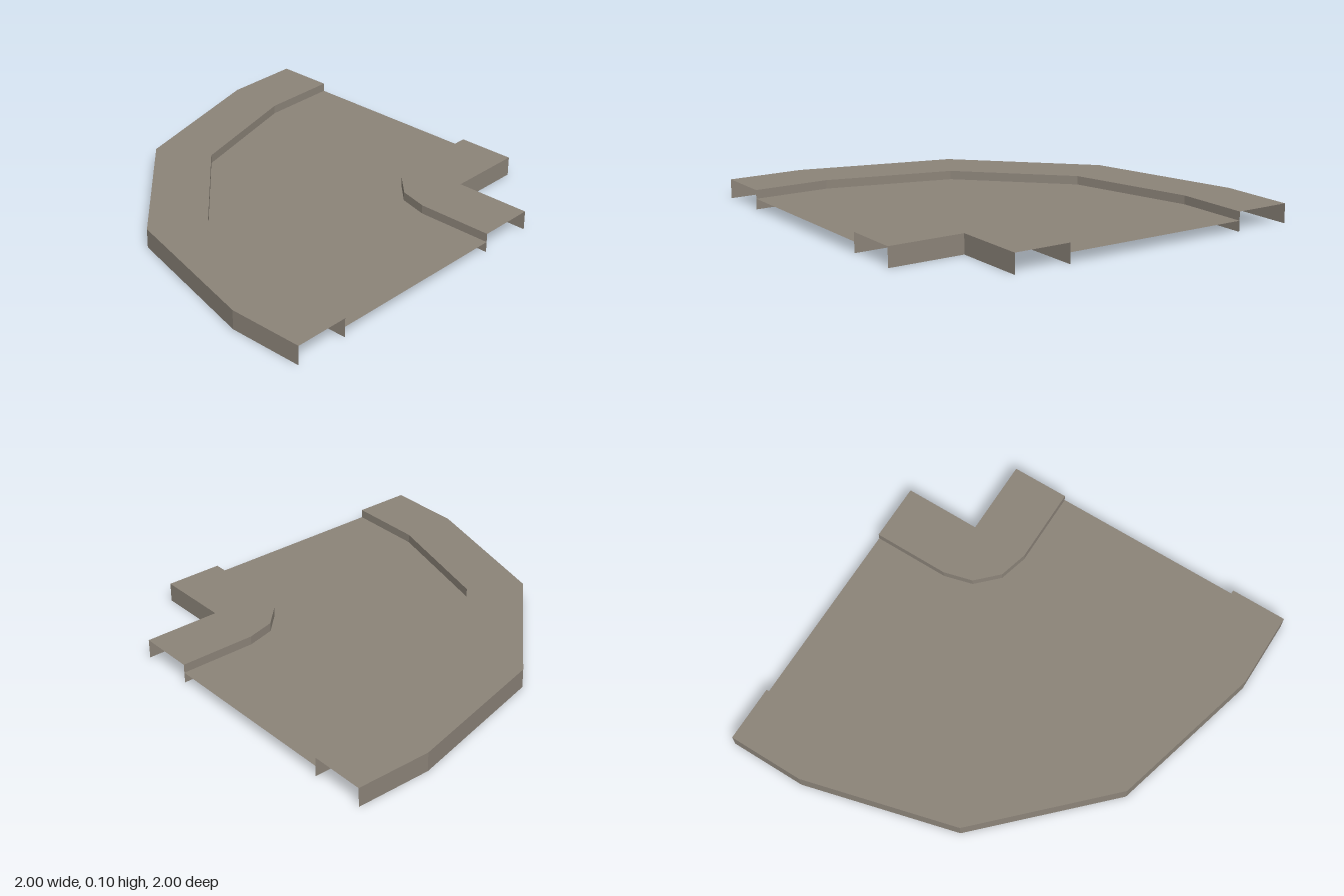
import * as THREE from 'three';

// Plan outlines [x, z], each running from the front end round to the +x end
const outerEdge = [[-1, 1], [-1, 0.6], [-0.79, -0.2], [-0.2, -0.79], [0.6, -1], [1, -1]];
const outerCurb = [[-0.705, 1], [-0.705, 0.6], [-0.53, -0.05], [-0.05, -0.53], [0.6, -0.705], [1, -0.705]];
const innerCurb = [[0.3, 1], [0.3, 0.6], [0.34, 0.45], [0.45, 0.34], [0.6, 0.3], [1, 0.3]];
const innerEdge = [[0.6, 1], [0.6, 0.6], [0.6, 0.6], [0.6, 0.6], [0.6, 0.6], [1, 0.6]];
const TOP = 0.1, ROAD = 0.055;

// Flat-shaded ribbon between two outlines of equal length, each at its own height
function ribbon(a, ya, b, yb) {
  const pos = [];
  const put = (p, y) => pos.push(p[0], y, p[1]);
  const same = (p, q) => p[0] === q[0] && p[1] === q[1];
  for (let i = 0; i < a.length - 1; i++) {
    if (!same(a[i], a[i + 1])) { put(a[i], ya); put(b[i], yb); put(a[i + 1], ya); }
    if (!same(b[i], b[i + 1])) { put(b[i], yb); put(b[i + 1], yb); put(a[i + 1], ya); }
  }
  const geometry = new THREE.BufferGeometry();
  geometry.setAttribute('position', new THREE.Float32BufferAttribute(pos, 3));
  geometry.computeVertexNormals();
  return geometry;
}

export function createModel() {
  const stone = new THREE.MeshStandardMaterial({ color: 0x8c8479, side: THREE.DoubleSide });
  stone.name = 'warm grey stone';
  const model = new THREE.Group();
  model.name = 'roadCorner';
  const add = (name, ...args) => {
    const mesh = new THREE.Mesh(ribbon(...args), stone);
    mesh.name = name;
    model.add(mesh);
  };

  // Horizontal surfaces
  add('outerPavement', outerEdge, TOP, outerCurb, TOP);
  add('road', outerCurb, ROAD, innerCurb, ROAD);
  add('innerPavement', innerCurb, TOP, innerEdge, TOP);

  // Upright skirts and curbs, open at both road ends
  add('outerSkirt', outerEdge, 0, outerEdge, TOP);
  add('outerCurb', outerCurb, TOP, outerCurb, 0);
  add('innerCurb', innerCurb, 0, innerCurb, TOP);
  add('innerSkirt', innerEdge, TOP, innerEdge, 0);
  return model;
}
